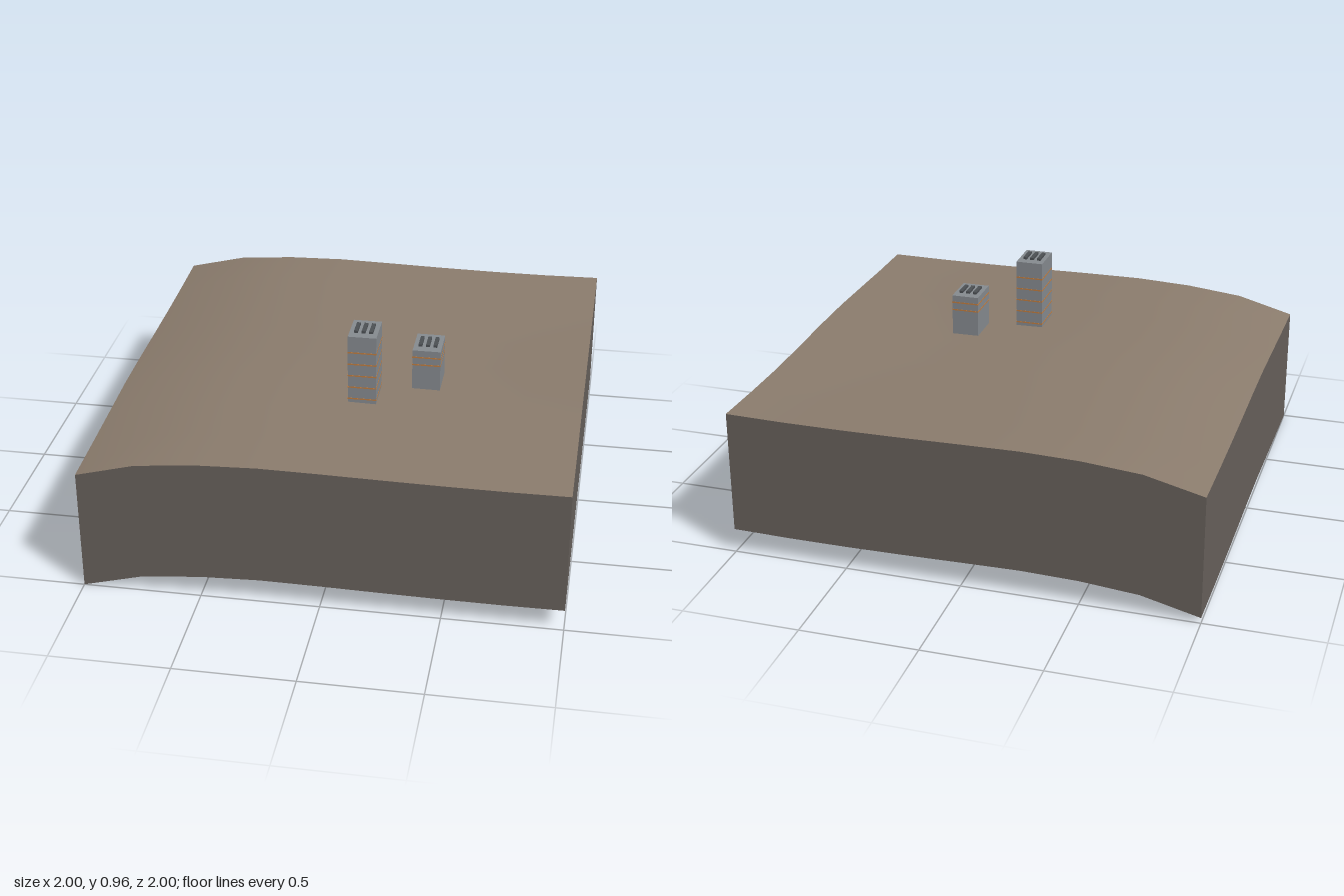
import * as THREE from 'three';

const mat = (name, color, side = THREE.FrontSide) => {
  const m = new THREE.MeshStandardMaterial({ color, side });
  m.name = name;
  return m;
};

// Edge profile along x, and gentle waves along z (from z = 1 to z = -1)
const PROFILE = [0.535, 0.602, 0.628, 0.638, 0.636, 0.632, 0.629, 0.628, 0.63];
const LEFT_WAVE = [0, 0.007, 0.016, 0.025, 0.025, 0.021, 0.019, 0.02, 0.024];
const RIGHT_WAVE = [0, 0.002, 0.008, 0.013, 0.011, 0.004, 0, 0.004, 0.012];
const N = 8, SKIRT = 0.535;

function height(i, k) {
  const t = i / N;
  return PROFILE[i] + LEFT_WAVE[k] * (1 - t) ** 2 + RIGHT_WAVE[k] * t * t;
}
// Grid point: i runs towards +x, k towards -z
const point = (i, k) => new THREE.Vector3(-1 + 2 * i / N, height(i, k), 1 - 2 * k / N);

// Surface from rows of points of equal length
function sheet(rows) {
  const n = rows[0].length, index = [];
  for (let r = 0; r < rows.length - 1; r++)
    for (let c = 0; c < n - 1; c++) {
      const a = r * n + c, b = a + n;
      index.push(a, a + 1, b + 1, a, b + 1, b);
    }
  const g = new THREE.BufferGeometry().setFromPoints(rows.flat());
  g.setIndex(index);
  g.computeVertexNormals();
  return g;
}

export function createModel() {
  const model = new THREE.Group();
  const soil = mat('brown ground', 0x8b7c6d, THREE.DoubleSide);
  const rock = mat('dark earth', 0x68615c, THREE.DoubleSide);
  const wall = mat('grey wall', 0x868b90);
  const orange = mat('orange band', 0xc07d40);
  const dark = mat('dark vent', 0x4c5054);

  const add = (parent, name, geometry, material, x = 0, y = 0, z = 0) => {
    const mesh = new THREE.Mesh(geometry, material);
    mesh.name = name;
    mesh.position.set(x, y, z);
    parent.add(mesh);
  };

  // Rolling ground
  const steps = [...Array(N + 1).keys()];
  add(model, 'ground', sheet(steps.map(k => steps.map(i => point(i, k)))), soil);

  // Skirt walls, open underneath
  const sides = {
    frontWall: s => point(s, 0),
    rightWall: s => point(0, N - s),
    backWall: s => point(N - s, N),
    leftWall: s => point(N, s),
  };
  for (const [name, at] of Object.entries(sides)) {
    const top = steps.map(at);
    const bottom = top.map(p => p.clone().setY(p.y - SKIRT));
    add(model, name, sheet([bottom, top]), rock);
  }

  // Tower blocks with floor bands and roof vents
  const W = 0.12, D = 0.16;
  function tower(name, x, z, base, top, bands) {
    const g = new THREE.Group();
    g.name = name;
    g.position.set(x, 0, z);
    add(g, 'walls', new THREE.BoxGeometry(W, top - base, D), wall, 0, (top + base) / 2);
    for (const y of bands)
      add(g, 'floorBand', new THREE.BoxGeometry(W + 0.002, 0.006, D + 0.002), orange, 0, y);
    for (const dx of [-0.032, 0, 0.032])
      add(g, 'roofVent', new THREE.BoxGeometry(0.016, 0.01, 0.08), dark, dx, top + 0.005);
    model.add(g);
  }
  tower('tallTower', 0.08, 0.33, 0.64, 0.95, [0.66, 0.714, 0.768, 0.822, 0.876]);
  tower('shortTower', 0.33, 0.163, 0.636, 0.822, [0.755, 0.79]);

  return model;
}
